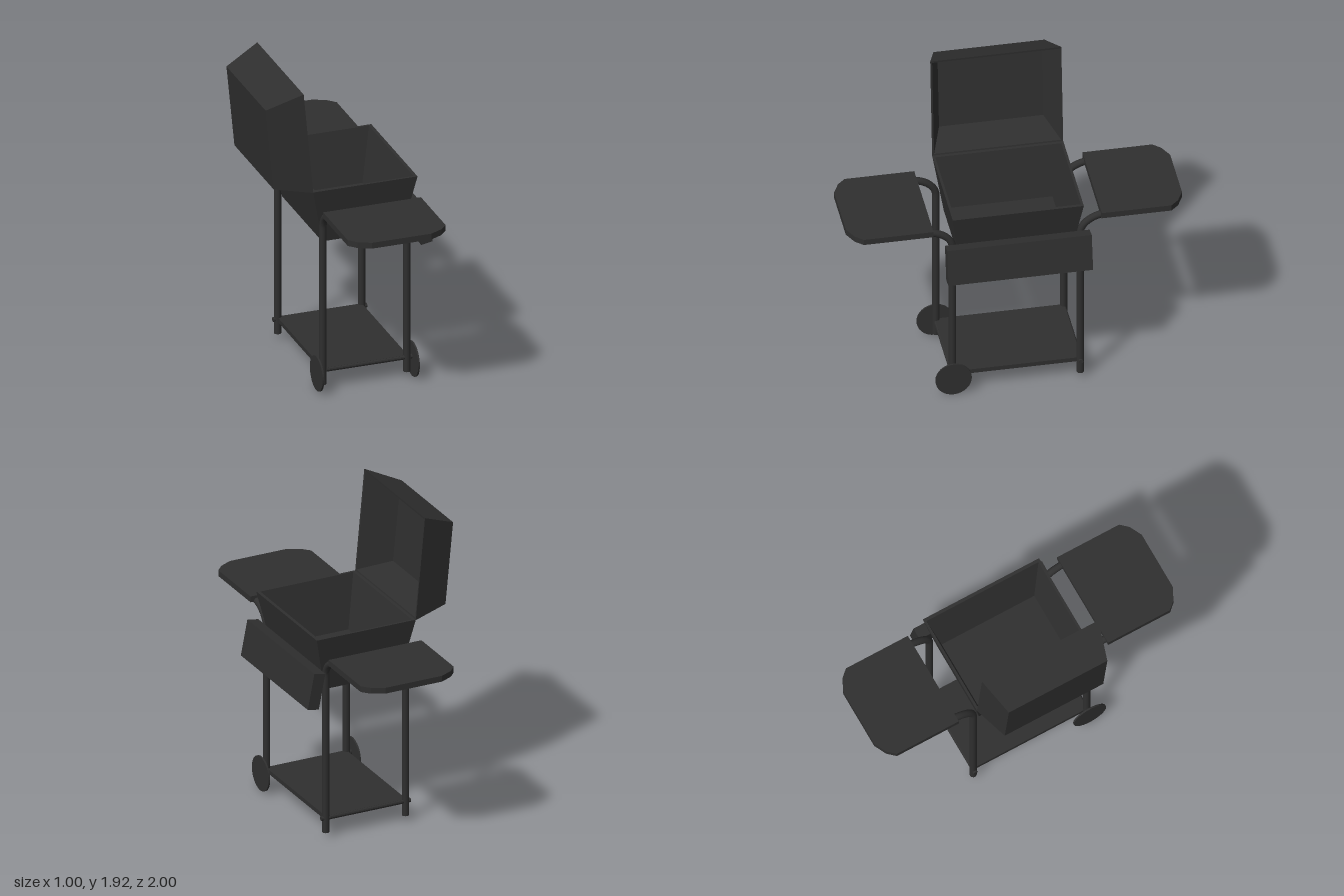
import * as THREE from 'three';

const material = new THREE.MeshStandardMaterial({ color: 0x2f2f2f, flatShading: true });
const smooth = new THREE.MeshStandardMaterial({ color: 0x2f2f2f });
const CX = 0.095; // centre line of the cart in x

function add(parent, name, geometry, x = 0, y = 0, z = 0, mat = material) {
  const mesh = new THREE.Mesh(geometry, mat);
  mesh.name = name;
  mesh.position.set(x, y, z);
  parent.add(mesh);
  return mesh;
}

// Rectangular ring between two (x, y) points, spanning -z to +z
const ring = (a, b, z) => [[...a, z], [...b, z], [...b, -z], [...a, -z]];

// Joins successive rings with flat faces and caps both ends
function shell(rings) {
  const pos = [];
  const quad = (a, b, c, d) => pos.push(...a, ...b, ...c, ...a, ...c, ...d);
  for (let k = 0; k < rings.length - 1; k++) {
    const p = rings[k], q = rings[k + 1];
    for (let i = 0; i < 4; i++) {
      const j = (i + 1) % 4;
      quad(p[i], p[j], q[j], q[i]);
    }
  }
  quad(...[...rings[0]].reverse());
  quad(...rings[rings.length - 1]);
  const g = new THREE.BufferGeometry();
  g.setAttribute('position', new THREE.Float32BufferAttribute(pos, 3));
  g.computeVertexNormals();
  return g;
}

// Table outline in (x, z), with clipped outer corners, shrunk by t
function tableOutline(t, Type) {
  const w = 0.305 - t, far = 1 - t, c = t * 0.5;
  const half = [[w, 0.5 + t], [w, 0.915 - c], [0.262 - t, 0.962 - c], [0.185 - c, far]];
  const all = [...half, ...half.map(([x, z]) => [-x, z]).reverse()];
  return new Type(all.map(([x, z]) => new THREE.Vector2(x, z)));
}

function slab(shape, depth) {
  return new THREE.ExtrudeGeometry(shape, { depth, bevelEnabled: false }).rotateX(Math.PI / 2);
}

export function createModel() {
  const model = new THREE.Group();
  model.name = 'barbecueCart';

  // Open tapered fire bowl
  add(model, 'bowl', shell([
    ring([-0.155, 0.93], [0.345, 0.93], 0.335),
    ring([-0.23, 1.28], [0.42, 1.28], 0.39),
    ring([-0.21, 1.28], [0.4, 1.28], 0.375),
    ring([-0.145, 0.95], [0.335, 0.95], 0.31),
  ]));

  // Hollow lid, swung open
  add(model, 'lid', shell([
    ring([-0.505, 1.825], [-0.455, 1.31], 0.33),
    ring([-0.29, 1.92], [-0.23, 1.277], 0.39),
    ring([-0.291, 1.908], [-0.232, 1.289], 0.378),
    ring([-0.485, 1.81], [-0.437, 1.33], 0.31),
  ]));

  // Tilted front panel
  add(model, 'frontPanel', shell([
    ring([0.428, 0.855], [0.5, 0.868], 0.43),
    ring([0.385, 1.077], [0.457, 1.09], 0.43),
  ]));

  // Each end: table tray and two bent legs that support it
  const rim = tableOutline(0.015, THREE.Shape);
  const rimShape = tableOutline(0, THREE.Shape);
  rimShape.holes.push(new THREE.Path(rim.getPoints()));
  for (const [side, turn] of [['left', 0], ['right', Math.PI]]) {
    const end = new THREE.Group();
    end.name = side + 'End';
    end.position.x = CX;
    end.rotation.y = turn;
    model.add(end);
    add(end, 'tableTop', slab(tableOutline(0, THREE.Shape), 0.01), 0, 1.197, 0);
    add(end, 'tableRim', slab(rimShape, 0.027), 0, 1.187, 0);

    for (const x of [-0.262, 0.262]) {
      const path = new THREE.CurvePath();
      const v = (y, z) => new THREE.Vector3(x, y, z);
      path.add(new THREE.LineCurve3(v(0.035, 0.38), v(1.04, 0.38)));
      path.add(new THREE.CubicBezierCurve3(v(1.04, 0.38), v(1.12, 0.38), v(1.165, 0.47), v(1.165, 0.54)));
      path.add(new THREE.LineCurve3(v(1.165, 0.54), v(1.165, 0.875)));
      add(end, 'leg', new THREE.TubeGeometry(path, 60, 0.022, 10), 0, 0, 0, smooth);
      const foot = add(end, 'legCap', new THREE.CircleGeometry(0.022, 10), x, 0.035, 0.38);
      foot.rotation.x = Math.PI / 2;
      add(end, 'tubeCap', new THREE.CircleGeometry(0.022, 10), x, 1.165, 0.875);
    }
    // Cross rod that carries the shelf
    add(end, 'crossRod', new THREE.CylinderGeometry(0.014, 0.014, 0.585, 10).rotateZ(Math.PI / 2), 0, 0.125, 0.38);
  }

  // Bottom shelf
  add(model, 'shelf', new THREE.BoxGeometry(0.53, 0.027, 0.77), CX, 0.125, 0);

  // Thin disc wheels
  for (const x of [-0.298, 0.298]) {
    add(model, 'wheel', new THREE.CylinderGeometry(0.108, 0.108, 0.01, 32).rotateZ(Math.PI / 2), CX + x, 0.108, 0.38);
  }
  return model;
}
